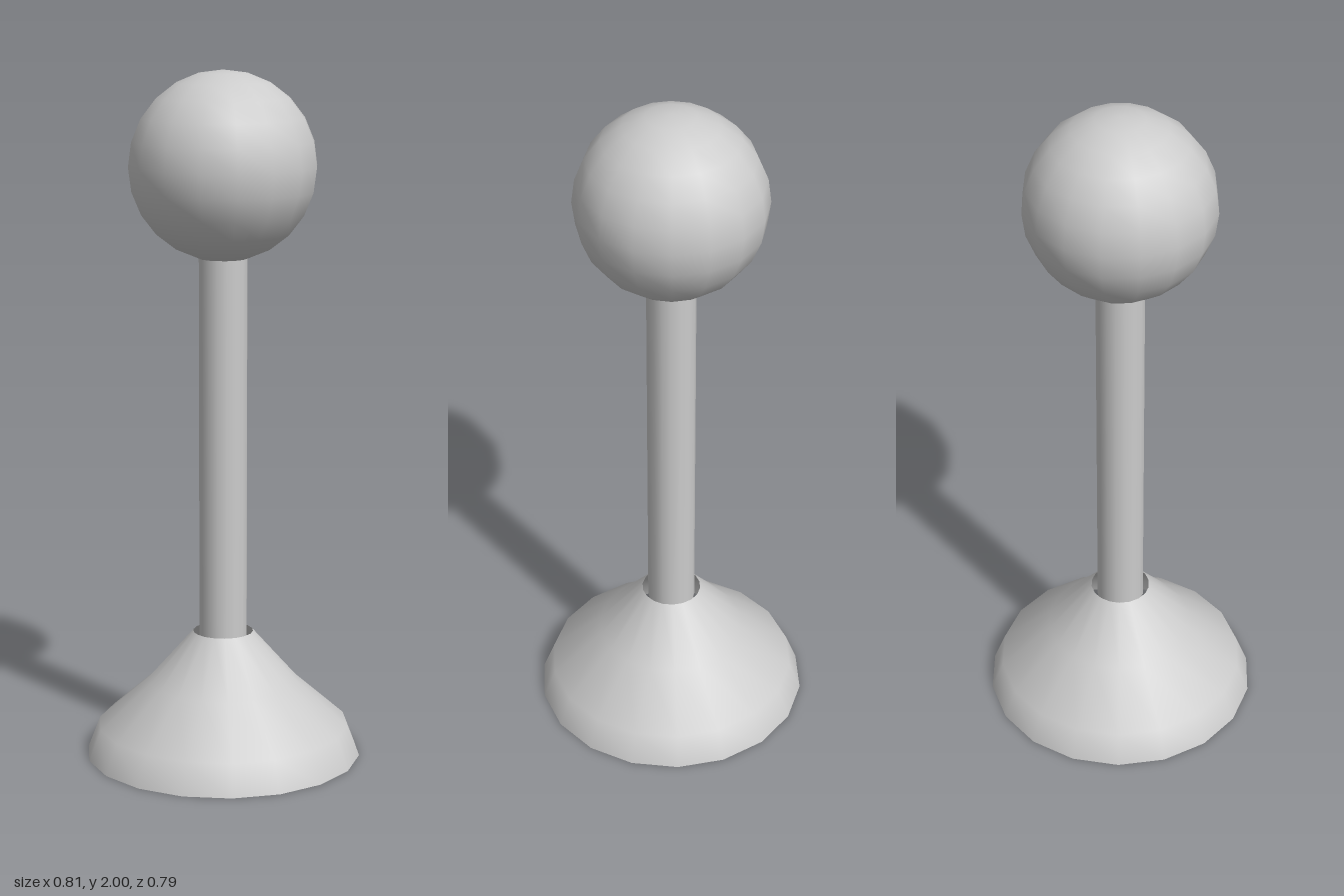
import * as THREE from 'three';

export function createModel() {
  const model = new THREE.Group();
  const grey = new THREE.MeshStandardMaterial({ color: 0xcccccc, side: THREE.DoubleSide });
  grey.name = 'light grey';

  const add = (name, geometry, y = 0) => {
    const mesh = new THREE.Mesh(geometry, grey);
    mesh.name = name;
    mesh.position.y = y;
    model.add(mesh);
    return mesh;
  };

  // Hollow flared base, open at the top and bottom
  const profile = [[0.403, 0], [0.368, 0.09], [0.22, 0.22], [0.088, 0.37]]
    .map(([r, y]) => new THREE.Vector2(r, y));
  const base = add('base', new THREE.LatheGeometry(profile, 18));
  base.rotation.y = Math.PI / 2;

  // Post, set slightly into the base and meeting the ball
  const bottom = 0.34, top = 1.475;
  add('post', new THREE.CylinderGeometry(0.07, 0.07, top - bottom, 16), (top + bottom) / 2);

  // Ball on top
  add('ball', new THREE.SphereGeometry(0.27, 16, 12), 1.73);

  return model;
}
